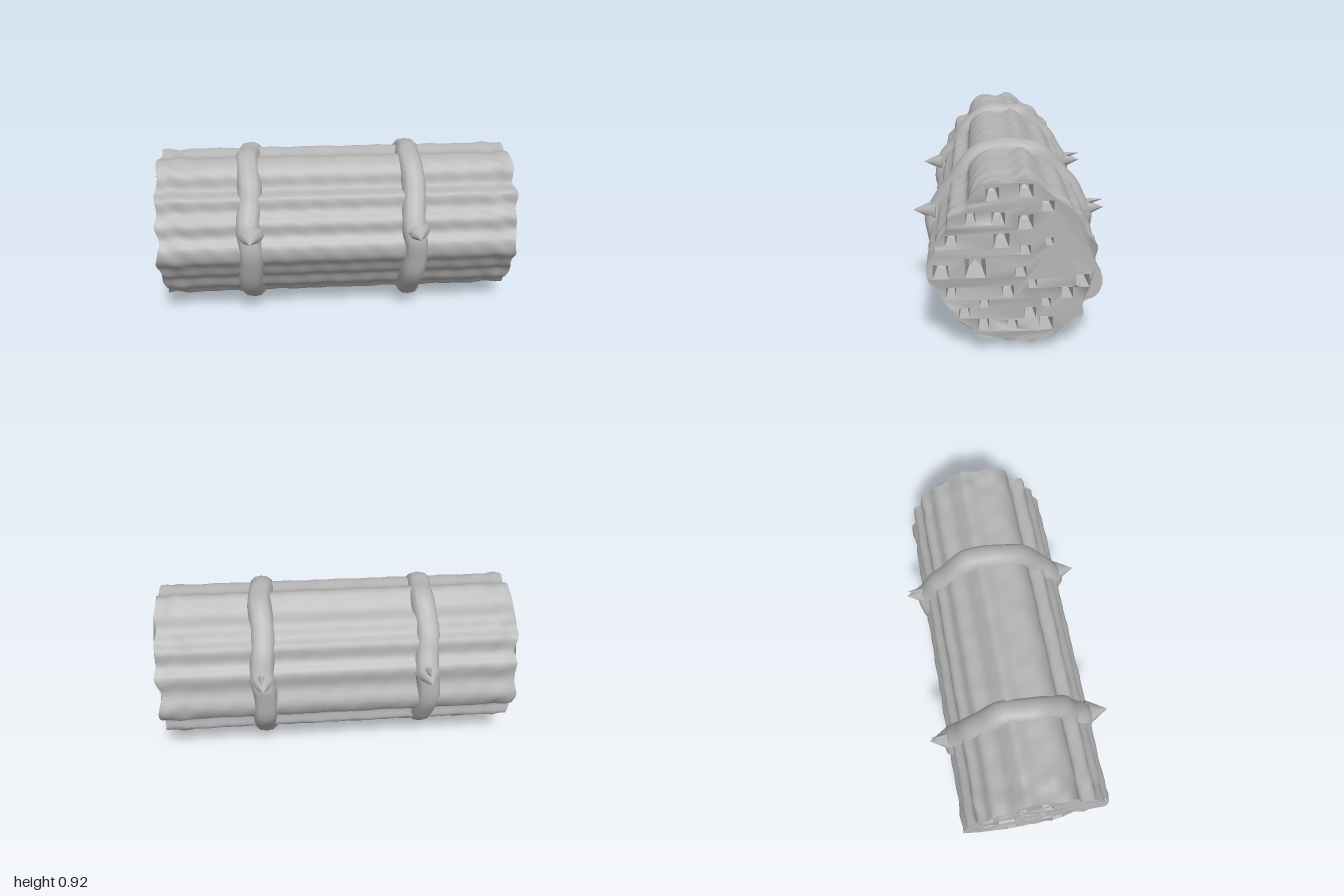
import * as THREE from 'three';

const CY = 0.46; // height of the bundle's axis
const HALF = 0.975;

// Lumpy outline of the packed canes, as z, y pairs
const OUTLINE = [
  0.10, 0.865, 0.02, 0.855, -0.06, 0.88, -0.11, 0.845, -0.16, 0.80, -0.23, 0.775, -0.27, 0.715,
  -0.32, 0.68, -0.33, 0.605, -0.38, 0.55, -0.375, 0.46, -0.41, 0.37, -0.38, 0.29, -0.325, 0.255,
  -0.325, 0.18, -0.245, 0.14, -0.19, 0.075, -0.135, 0.08, -0.08, 0.047, -0.03, 0.07, 0.017, 0.052,
  0.085, 0.08, 0.16, 0.08, 0.20, 0.125, 0.26, 0.167, 0.295, 0.235, 0.33, 0.275, 0.36, 0.33,
  0.40, 0.385, 0.405, 0.455, 0.365, 0.51, 0.36, 0.575, 0.31, 0.63, 0.295, 0.70, 0.22, 0.727,
  0.20, 0.795, 0.155, 0.845];

// Outer rim of a binding, as z, y pairs
const RIM = [
  0, 0.912, -0.14, 0.895, -0.27, 0.785, -0.365, 0.665, -0.43, 0.54, -0.445, 0.43, -0.41, 0.27,
  -0.31, 0.135, -0.17, 0.04, 0.02, 0.004, 0.18, 0.04, 0.28, 0.10, 0.40, 0.26, 0.44, 0.42,
  0.425, 0.55, 0.35, 0.66, 0.27, 0.78, 0.14, 0.895];

// Hollow cane ends: z, y, half width
const HOLES = [
  [0.10, 0.80, 0.03], [-0.05, 0.815, 0.032], [-0.15, 0.74, 0.027], [0.20, 0.685, 0.023],
  [0.075, 0.685, 0.03], [-0.05, 0.665, 0.035], [0.29, 0.575, 0.027], [0.06, 0.575, 0.036],
  [-0.16, 0.57, 0.018], [-0.05, 0.53, 0.025], [0.34, 0.425, 0.036], [0.18, 0.44, 0.048],
  [-0.03, 0.42, 0.025], [-0.32, 0.37, 0.03], [0.295, 0.315, 0.023], [0.03, 0.315, 0.028],
  [-0.085, 0.36, 0.02], [-0.25, 0.305, 0.025], [-0.15, 0.26, 0.022], [0.14, 0.255, 0.022],
  [0.235, 0.21, 0.025], [-0.075, 0.205, 0.028], [0.145, 0.15, 0.026], [0.01, 0.145, 0.025],
  [-0.15, 0.15, 0.033]];

// Smooth closed loop of [z, y] points
function smoothLoop(pairs, count) {
  const pts = [];
  for (let i = 0; i < pairs.length; i += 2) pts.push(new THREE.Vector3(0, pairs[i + 1], pairs[i]));
  const curve = new THREE.CatmullRomCurve3(pts, true);
  return Array.from({ length: count }, (_, i) => {
    const p = curve.getPoint(i / count);
    return [p.z, p.y];
  });
}

// Joins closed rings of points; an optional tip closes the last ring
function loft(rings, tip) {
  const n = rings[0].length, index = [], pos = rings.flat(2);
  for (let i = 0; i < rings.length - 1; i++) {
    for (let j = 0; j < n; j++) {
      const a = i * n + j, b = i * n + (j + 1) % n;
      index.push(a, a + n, b, b, a + n, b + n);
    }
  }
  if (tip) {
    const base = (rings.length - 1) * n;
    for (let j = 0; j < n; j++) index.push(base + j, rings.length * n, base + (j + 1) % n);
    pos.push(...tip);
  }
  const g = new THREE.BufferGeometry();
  g.setAttribute('position', new THREE.Float32BufferAttribute(pos, 3));
  g.setIndex(index);
  g.computeVertexNormals();
  return g;
}

// Gentle unevenness of the cane surface and of the cut ends
const wave = (a, b, c) => Math.sin(a * 31 + b * 17 + 1) * Math.sin(b * 29 - c * 23 + a * 11) ;
const endX = (side, z, y) => side * (HALF + 0.014 * Math.sin(z * 23 + side) * Math.sin(y * 27 + side * 2));

function bodyPoint(t, [z, y]) {
  const x = THREE.MathUtils.lerp(endX(-1, z, y), endX(1, z, y), t);
  const rough = Math.abs(x) > 0.84 && t > 0 && t < 1 ? 0.022 : 0.008;
  const s = t === 0 || t === 1 ? 1 : 1 + rough * wave(x, y, z);
  return [x, CY + (y - CY) * s, z * s];
}

export function createModel() {
  const group = new THREE.Group();
  const gray = new THREE.MeshStandardMaterial({ color: 0xb4b4b4, side: THREE.DoubleSide });
  gray.name = 'plain gray';
  const add = (name, geometry, parent = group) => {
    const m = new THREE.Mesh(geometry, gray);
    m.name = name;
    parent.add(m);
    return m;
  };

  // Ridged sides of the bundle
  const outline = smoothLoop(OUTLINE, 148);
  const rings = [];
  for (let i = 0; i <= 56; i++) rings.push(outline.map(p => bodyPoint(i / 56, p)));
  add('caneSides', loft(rings));

  // Cut ends with hollow canes
  for (const side of [1, -1]) {
    const end = new THREE.Group();
    end.name = side > 0 ? 'leftEnd' : 'rightEnd';
    group.add(end);
    const shape = new THREE.Shape(outline.map(([z, y]) => new THREE.Vector2(-z, y)));
    const k = side > 0 ? 1 : 0.92;
    for (const [hz, hy, r] of HOLES) {
      const z = hz * side * k, y = CY + (hy - CY) * k;
      const square = [[1, 1], [-1, 1], [-1, -1], [1, -1]].map(([a, b]) => [z + a * r, y + b * r]);
      shape.holes.push(new THREE.Path(square.map(p => new THREE.Vector2(-p[0], p[1]))));
      if (side < 0) square.reverse();
      const mouth = square.map(([a, b]) => [endX(side, a, b), b, a]);
      const bottom = square.map(([a, b]) => [side * 0.88, y + (b - y) * 0.6, z + (a - z) * 0.6]);
      add('hollow', loft([mouth, bottom], [side * 0.87, y, z]).toNonIndexed(), end)
        .geometry.computeVertexNormals();
    }
    const cap = new THREE.ShapeGeometry(shape);
    const p = cap.attributes.position;
    for (let i = 0; i < p.count; i++) {
      const z = -p.getX(i), y = p.getY(i);
      p.setXYZ(i, endX(side, z, y), y, z);
    }
    if (side < 0) cap.setIndex(Array.from(cap.index.array).reverse());
    cap.computeVertexNormals();
    add('cutFace', cap, end);
  }

  // Two cord bindings, each with a pointed knot at front and back
  const rim = smoothLoop(RIM, 80);
  const section = [[-0.07, 0.86], [-0.062, 0.94], [-0.04, 0.985], [0, 1], [0.04, 0.985], [0.062, 0.94], [0.07, 0.86]];
  for (const [bx, size] of [[-0.485, 0.975], [0.412, 1]]) {
    const binding = new THREE.Group();
    binding.name = bx < 0 ? 'rightBinding' : 'leftBinding';
    group.add(binding);
    add('cord', loft(section.map(([dx, f]) => rim.map(([z, y], j) => {
      const s = f * size * (1 + 0.01 * Math.sin(j * 0.94 + bx * 5));
      return [bx + dx * 0.95 + 0.007 * Math.sin(j * 0.47), Math.max(0, CY + (y - CY) * s), z * s];
    }))), binding);
    for (const side of [1, -1]) {
      const cone = new THREE.ConeGeometry(0.075, 0.12, 8, 2);
      cone.scale(1, 1, 0.75);
      cone.rotateX(side * Math.PI / 2);
      add('knot', cone, binding).position.set(bx + 0.005, 0.525, side * 0.445);
    }
    // Loose cord end behind
    const tail = new THREE.ConeGeometry(0.022, 0.1, 5);
    tail.rotateX(-Math.PI / 2 + 0.15);
    add('cordEnd', tail, binding).position.set(bx + 0.01, 0.565, -0.45);
  }
  return group;
}
